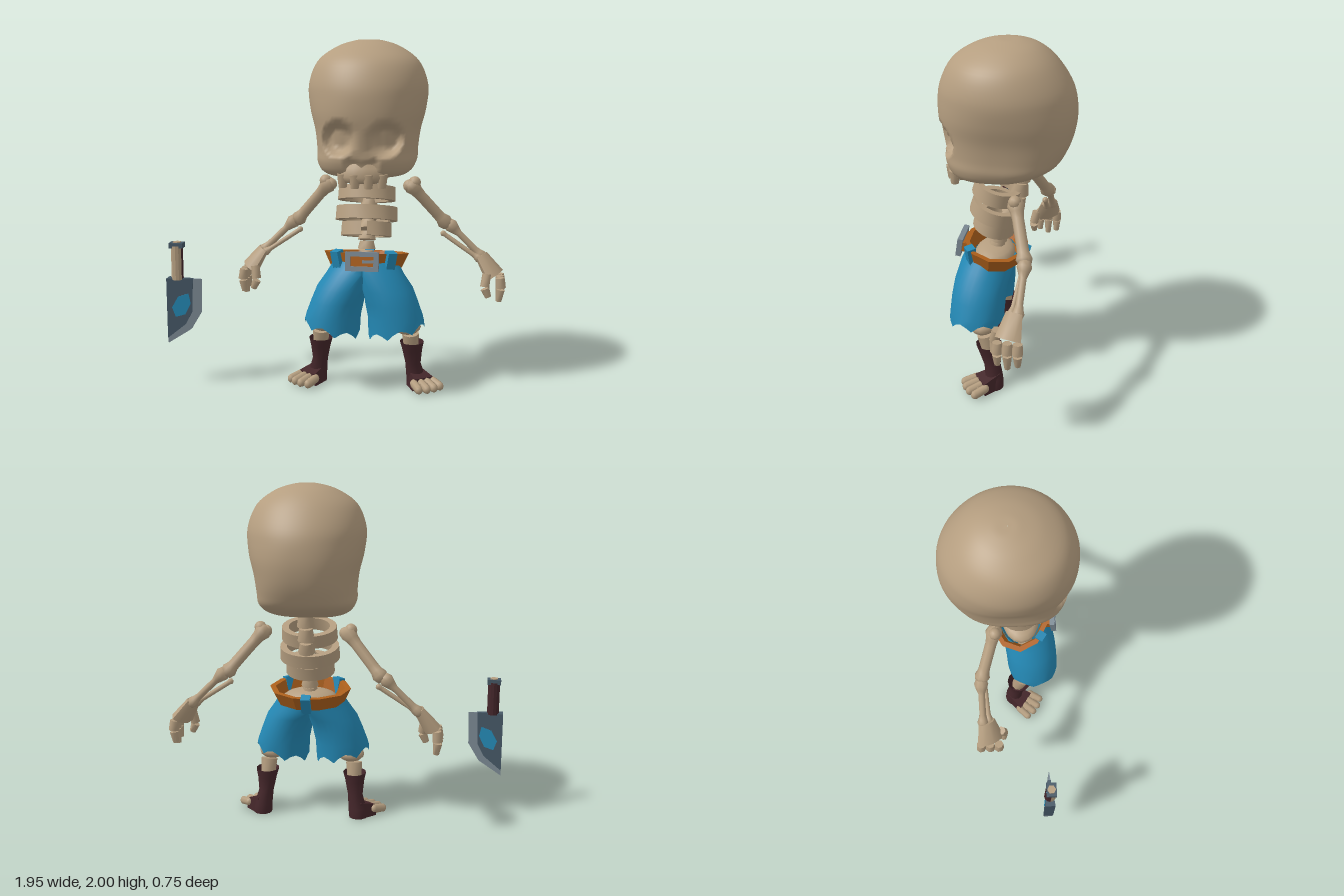
import * as THREE from 'three';
import { toCreasedNormals } from 'three/addons/utils/BufferGeometryUtils.js';

const mat = (name, color, side = THREE.FrontSide) => {
  const m = new THREE.MeshStandardMaterial({ color, side });
  m.name = name;
  return m;
};
const bone = mat('bone', 0xb59e80);
const cloth = mat('blue cloth', 0x2488b4, THREE.DoubleSide);
const leather = mat('orange leather', 0xad601c);
const boot = mat('dark brown', 0x44262a, THREE.DoubleSide);
const steel = mat('light steel', 0x7b8993);
const slate = mat('dark steel', 0x465866);

const V = (x, y, z) => new THREE.Vector3(x, y, z);
const UP = V(0, 1, 0);

function add(parent, name, geometry, material, x = 0, y = 0, z = 0) {
  const m = new THREE.Mesh(geometry, material);
  m.name = name;
  m.position.set(x, y, z);
  parent.add(m);
  return m;
}

// Closed surface from rows of cross-sections, listed bottom to top
function grid(rows, seg, fn) {
  const pos = [], idx = [];
  for (let r = 0; r < rows; r++)
    for (let i = 0; i < seg; i++) pos.push(...fn(r, (i / seg) * Math.PI * 2, i));
  const mid = (k) => Math.abs(pos[k * 3]) < 1e-5;
  const tri = (a, b, c) => { if (!(mid(a) && mid(b) && mid(c))) idx.push(a, b, c); };
  for (let r = 0; r < rows - 1; r++)
    for (let i = 0; i < seg; i++) {
      const a = r * seg + i, b = r * seg + ((i + 1) % seg);
      tri(a, a + seg, b);
      tri(b, a + seg, b + seg);
    }
  const g = new THREE.BufferGeometry();
  g.setAttribute('position', new THREE.Float32BufferAttribute(pos, 3));
  g.setIndex(idx);
  g.computeVertexNormals();
  return g;
}

// Elliptical loft, ring = [y, cx, cz, rx, rz]
const loft = (rings, seg) => grid(rings.length, seg, (r, a) => {
  const [y, cx, cz, rx, rz] = rings[r];
  return [cx + rx * Math.cos(a), y, cz + rz * Math.sin(a)];
});

// Shaft with a knob of radius k0 at a and k1 at b
function knobBone(parent, name, a, b, r, k0, k1, material = bone) {
  const L = a.distanceTo(b);
  const pts = [[0, -k0], [0.75 * k0, -0.7 * k0], [k0, 0], [0.75 * k0, 0.7 * k0], [r, 1.5 * k0],
    [r, L - 1.5 * k1], [0.75 * k1, L - 0.7 * k1], [k1, L], [0.75 * k1, L + 0.7 * k1], [0, L + k1]]
    .map(([x, y]) => new THREE.Vector2(x, y));
  const m = add(parent, name, new THREE.LatheGeometry(pts, 9), material, a.x, a.y, a.z);
  m.quaternion.setFromUnitVectors(UP, b.clone().sub(a).normalize());
  return m;
}

// Tapered block running from a to b
function block(parent, name, a, b, r0, r1, material = bone, flat = 1, seg = 7) {
  const g = new THREE.CylinderGeometry(r1, r0, a.distanceTo(b), seg);
  g.scale(flat, 1, 1);
  const m = add(parent, name, toCreasedNormals(g, 1), material);
  m.position.copy(a).lerp(b, 0.5);
  m.quaternion.setFromUnitVectors(UP, b.clone().sub(a).normalize());
  return m;
}

// Ring band with a rectangular section
function band(r0, r1, thick, h, seg, start = 0, len = Math.PI * 2) {
  const pts = [[r0 - thick, 0], [r0, 0], [r1, h], [r1 - thick, h], [r0 - thick, 0]];
  return new THREE.LatheGeometry(pts.map(([x, y]) => new THREE.Vector2(x, y - h / 2)), seg, start, len);
}

function buildSkull(body) {
  const g = new THREE.Group();
  g.name = 'skull';
  body.add(g);
  // y, half width, front z, back z
  const prof = [[1.245, 0.002, 0.06, 0.05], [1.25, 0.17, 0.24, -0.08], [1.275, 0.245, 0.3, -0.17],
    [1.33, 0.278, 0.332, -0.275], [1.4, 0.282, 0.342, -0.325], [1.5, 0.295, 0.36, -0.362],
    [1.62, 0.325, 0.377, -0.375], [1.75, 0.335, 0.368, -0.352], [1.88, 0.285, 0.305, -0.27],
    [1.96, 0.18, 0.19, -0.18], [1.995, 0.075, 0.075, -0.085], [2.0, 0.002, 0.002, -0.002]];
  const shape = new THREE.CatmullRomCurve3(prof.map((p) => V(p[1], p[2], p[3])), false, 'catmullrom', 0.5);
  const height = new THREE.CatmullRomCurve3(prof.map((p) => V(0, p[0], 0)), false, 'catmullrom', 0.5);
  const rows = 56;
  const dent = (x, y, cx, cy, rx, ry) =>
    Math.min(1, 1.7 * Math.max(0, 1 - ((Math.abs(x) - cx) / rx) ** 2 - ((y - cy) / ry) ** 2));
  add(g, 'cranium', grid(rows, 80, (r, a) => {
    const t = r / (rows - 1), s = shape.getPoint(t), y = height.getPoint(t).y;
    const e = 2 / (2.05 + 0.6 * THREE.MathUtils.clamp((1.7 - y) / 0.35, 0, 1));
    const pw = (c) => Math.sign(c) * Math.abs(c) ** e;
    const x = s.x * pw(Math.cos(a));
    let z = (s.y + s.z) / 2 + ((s.y - s.z) / 2) * pw(Math.sin(a));
    // eye sockets and nostrils
    if (z > 0.1) z -= 0.085 * dent(x, y, 0.13, 1.465, 0.092, 0.095) + 0.03 * dent(x, y, 0.06, 1.325, 0.03, 0.04);
    return [x, y, z];
  }), bone);
  add(g, 'upperJaw', loft([[1.225, 0, 0.24, 0.002, 0.002], [1.228, 0, 0.24, 0.125, 0.085],
    [1.26, 0, 0.24, 0.14, 0.1], [1.31, 0, 0.23, 0.13, 0.1], [1.36, 0, 0.2, 0.05, 0.1]], 20), bone);
  for (const [x, z] of [[-0.108, 0.28], [-0.037, 0.312], [0.037, 0.312], [0.108, 0.28]])
    block(g, 'tooth', V(x, 1.2, z), V(x, 1.275, z), 0.023, 0.033);
}

function buildTorso(body) {
  const g = new THREE.Group();
  g.name = 'ribcage';
  body.add(g);
  // y, z, radius, opening at the front
  for (const [y, z, r, gap] of [[1.135, 0.06, 0.165, 0], [1.02, 0.065, 0.178, 0], [0.93, 0.075, 0.145, 0.12]]) {
    const geo = band(r, r * 0.98, 0.04, 0.078, 28, gap, Math.PI * 2 - 2 * gap);
    geo.scale(1, 1, 0.84);
    add(g, 'rib', toCreasedNormals(geo, 0.8), bone, 0, y, z).rotation.x = -0.27;
  }
  const spine = new THREE.CatmullRomCurve3([V(0, 0.76, 0.07), V(0, 0.9, 0.04), V(0, 1.06, -0.05), V(0, 1.28, -0.08)]);
  for (let i = 0; i < 8; i++)
    block(g, 'vertebra', spine.getPoint(i / 8), spine.getPoint((i + 0.85) / 8), 0.052, 0.04, bone, 1, 8);
  add(g, 'pelvis', new THREE.SphereGeometry(1, 16, 10).scale(0.165, 0.06, 0.115), bone, 0, 0.73, 0.08);
}

function buildBelt(body) {
  const g = new THREE.Group();
  g.name = 'belt';
  g.position.set(0, 0.755, 0.075);
  g.rotation.x = -0.15;
  body.add(g);
  const geo = band(0.205, 0.245, 0.035, 0.085, 10, Math.PI / 10);
  geo.scale(1, 1, 0.74);
  add(g, 'strap', toCreasedNormals(geo, 0.3), leather);
  for (const t of [-0.75, 0.75, Math.PI]) {
    const loop = add(g, 'beltLoop', new THREE.BoxGeometry(0.055, 0.105, 0.05), cloth,
      Math.sin(t) * 0.215, 0.003, Math.cos(t) * 0.16);
    loop.rotation.set(0.3, Math.atan2(Math.sin(t) * 0.74, Math.cos(t)), 0, 'YXZ');
  }
  const rect = (P, w, h) => new P([[-w, -h], [w, -h], [w, h], [-w, h]].map(([x, y]) => new THREE.Vector2(x, y)));
  const frame = rect(THREE.Shape, 0.093, 0.054);
  frame.holes.push(rect(THREE.Path, 0.065, 0.028));
  add(g, 'buckle', new THREE.ExtrudeGeometry(frame, { depth: 0.03, bevelEnabled: false }), steel, 0, 0, 0.185);
  add(g, 'strapEnd', new THREE.BoxGeometry(0.15, 0.055, 0.04), leather, 0, 0, 0.175);
  add(g, 'prong', new THREE.BoxGeometry(0.085, 0.016, 0.016), steel, 0.045, 0, 0.205);
}

function buildArm(body, s) {
  const g = new THREE.Group();
  g.name = s > 0 ? 'leftArm' : 'rightArm';
  body.add(g);
  const P = (x, y, z) => V(s * x, y, z);
  knobBone(g, 'upperArm', P(0.25, 1.16, -0.085), P(0.435, 0.945, -0.16), 0.033, 0.05, 0.046);
  for (const [x, y] of [[0.23, 1.165], [0.262, 1.185]])
    add(g, 'shoulderKnob', new THREE.SphereGeometry(0.036, 10, 8), bone, s * x, y, -0.08);
  knobBone(g, 'ulna', P(0.475, 0.92, -0.168), P(0.655, 0.745, -0.165), 0.02, 0.042, 0.034);
  knobBone(g, 'radius', P(0.43, 0.875, -0.15), P(0.64, 0.735, -0.13), 0.014, 0.018, 0.026);
  const palm = block(g, 'palm', P(0.655, 0.75, -0.145), P(0.735, 0.635, -0.125), 0.05, 0.08, bone, 0.6, 8);
  palm.scale.z = 1.05;
  for (const z of [-0.075, -0.128, -0.182]) {
    block(g, 'knuckle', P(0.765, 0.635, z), P(0.772, 0.575, z), 0.026, 0.03);
    block(g, 'fingertip', P(0.77, 0.565, z), P(0.762, z === -0.128 ? 0.48 : 0.5, z), 0.027, 0.017);
  }
  block(g, 'thumbBase', P(0.69, 0.66, -0.06), P(0.68, 0.585, -0.045), 0.026, 0.028);
  block(g, 'thumbTip', P(0.68, 0.575, -0.045), P(0.7, 0.525, -0.045), 0.027, 0.019);
}

function buildLeg(body, s) {
  const g = new THREE.Group();
  g.name = s > 0 ? 'leftLeg' : 'rightLeg';
  body.add(g);
  const P = (x, y, z) => V(s * x, y, z);
  // shorts leg with a ragged hem, y, cx, rx, cz, rz
  const rings = [[0.375, 0.185, 0.16, 0.155, 0.155], [0.45, 0.178, 0.158, 0.15, 0.156], [0.53, 0.155, 0.152, 0.145, 0.156],
    [0.61, 0.115, 0.16, 0.135, 0.156], [0.68, 0.05, 0.175, 0.115, 0.15], [0.75, 0, 0.185, 0.095, 0.14]];
  add(g, 'shortsLeg', grid(rings.length, 28, (r, a, i) => {
    const [y, cx, rx, cz, rz] = rings[r], c = Math.cos(a), z = cz + rz * Math.sin(s * a);
    const hem = r === 0 ? 0.035 * c + [-0.022, 0.004, 0.018, 0.006][i % 4] : 0;
    const tilt = r > 3 ? (z - 0.1) * 0.15 : 0;
    return [s * Math.max(0, cx + rx * c), y + hem + tilt, z];
  }), cloth);
  knobBone(g, 'thigh', P(0.12, 0.68, 0.1), P(0.24, 0.385, 0.11), 0.04, 0.05, 0.06);
  add(g, 'knee', new THREE.SphereGeometry(1, 12, 8).scale(0.08, 0.048, 0.075), bone, s * 0.242, 0.377, 0.11);
  block(g, 'shin', P(0.262, 0.33, 0.09), P(0.268, 0.2, 0.06), 0.05, 0.04, bone, 1, 9);
  // boot shaft
  add(g, 'bootShaft', toCreasedNormals(loft([[0, s * 0.295, 0.035, 0.002, 0.002], [0.001, s * 0.295, 0.035, 0.056, 0.055],
    [0.06, s * 0.29, 0.035, 0.054, 0.053], [0.14, s * 0.275, 0.048, 0.045, 0.048],
    [0.225, s * 0.27, 0.062, 0.058, 0.064], [0.275, s * 0.268, 0.068, 0.07, 0.076],
    [0.255, s * 0.268, 0.068, 0.045, 0.045]].slice(0, 6), 12), 0.7), boot);
  // foot turned outward, built along its own z
  const foot = new THREE.Group();
  foot.name = 'foot';
  foot.position.set(s * 0.285, 0, 0.03);
  foot.rotation.y = s * 0.62;
  g.add(foot);
  const instep = new THREE.BoxGeometry(0.14, 0.1, 0.11);
  const p = instep.attributes.position;
  for (let i = 0; i < p.count; i++) {
    const front = p.getZ(i) > 0;
    if (front && p.getY(i) > 0) p.setY(i, 0.018);
    p.setX(i, p.getX(i) * (front ? 1.05 : 0.7) * (p.getY(i) > 0 ? 0.85 : 1));
  }
  instep.computeVertexNormals();
  add(foot, 'instep', instep, boot, 0, 0.05, 0.045);
  add(foot, 'sole', new THREE.BoxGeometry(0.125, 0.045, 0.06), bone, 0, 0.026, 0.105);
  for (let i = 0; i < 4; i++) {
    const x = (i - 1.5) * 0.041, z = 0.2 - Math.abs(i - 1.5) * 0.012;
    const toe = new THREE.CapsuleGeometry(0.023, 0.07, 3, 8).rotateX(Math.PI / 2 + 0.18).scale(1, 1.15, 1);
    add(foot, 'toe', toe, bone, x * 1.08, 0.035, z - 0.055).rotation.y = x * 2;
  }
}

function buildKnife(root) {
  const g = new THREE.Group();
  g.name = 'cleaver';
  g.position.z = 0.215;
  root.add(g);
  // plate that thins from the spine to the cutting edge
  const plate = (name, pts, half, material) => {
    const geo = new THREE.ExtrudeGeometry(new THREE.Shape(pts.map(([x, y]) => new THREE.Vector2(x, y))),
      { depth: 2 * half, bevelEnabled: false });
    geo.translate(0, 0, -half);
    const p = geo.attributes.position;
    for (let i = 0; i < p.count; i++) p.setZ(i, p.getZ(i) * (-0.765 - p.getX(i)) / 0.21);
    geo.computeVertexNormals();
    add(g, name, geo, material);
  };
  plate('bladeEdge', [[-0.974, 0.25], [-0.84, 0.334], [-0.775, 0.44], [-0.77, 0.637], [-0.974, 0.637]], 0.025, steel);
  plate('bladeBody', [[-0.975, 0.282], [-0.87, 0.365], [-0.83, 0.44], [-0.822, 0.638], [-0.975, 0.638]], 0.03, slate);
  plate('bladeMark', [[-0.945, 0.467], [-0.925, 0.41], [-0.87, 0.425], [-0.838, 0.49], [-0.85, 0.55], [-0.91, 0.53]], 0.035, cloth);
  // two-tone grip
  const half = (start, len, seg) => new THREE.CylinderGeometry(0.035, 0.035, 0.2, seg, 1, true, start, len);
  add(g, 'gripFront', toCreasedNormals(half(-Math.PI / 2, Math.PI * 5 / 6, 5), 0.4), bone, -0.915, 0.73, 0);
  add(g, 'gripBack', toCreasedNormals(half(Math.PI / 3, Math.PI * 7 / 6, 7), 0.4), boot, -0.915, 0.73, 0);
  add(g, 'pommel', new THREE.BoxGeometry(0.08, 0.03, 0.058), slate, -0.915, 0.833, 0);
  add(g, 'pommelCap', new THREE.CylinderGeometry(0.025, 0.025, 0.006, 6), bone, -0.915, 0.85, 0);
}

export function createModel() {
  const root = new THREE.Group();
  root.name = 'skeleton';
  const body = new THREE.Group();
  body.name = 'body';
  body.position.x = 0.17;
  root.add(body);
  buildSkull(body);
  buildTorso(body);
  buildBelt(body);
  for (const s of [1, -1]) {
    buildArm(body, s);
    buildLeg(body, s);
  }
  buildKnife(root);
  return root;
}
